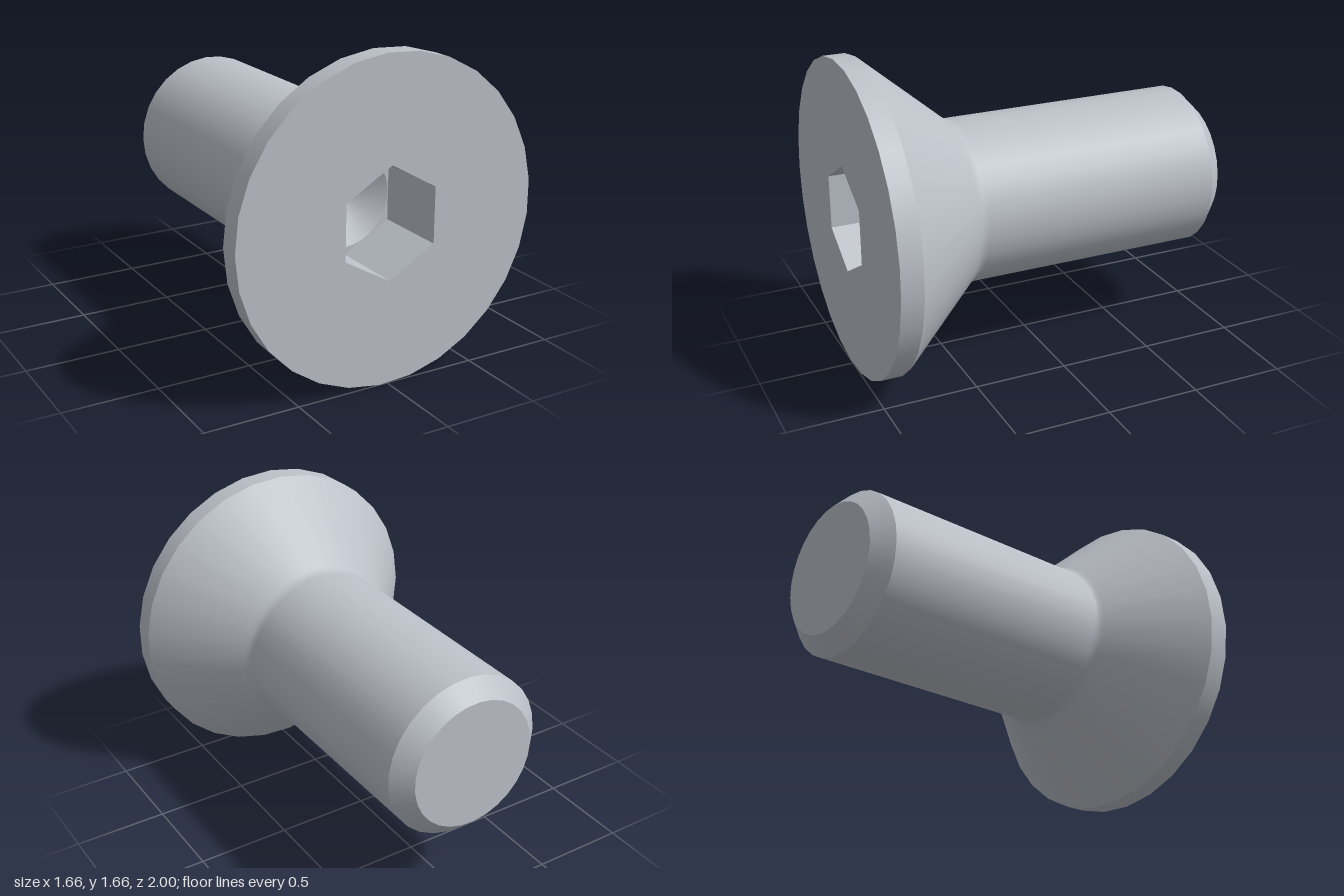
import * as THREE from 'three';

const SIDES = 29;
const CENTER_Y = 0.829;
const HEAD_R = 0.83, SHANK_R = 0.435, TIP_R = 0.345;
const HEX_R = 0.29, DRILL_R = 0.25, FLOOR_Z = 0.6;

// Ring of points on a circle
function ring(radius, count, start) {
  return Array.from({ length: count }, (_, i) => {
    const a = start + (i / count) * Math.PI * 2;
    return new THREE.Vector2(radius * Math.cos(a), radius * Math.sin(a));
  });
}

// Turned surface along z from [radius, z] pairs
function turned(profile, sides = SIDES, start = -Math.PI / 2) {
  const points = profile.map(([r, z]) => new THREE.Vector2(r, z));
  return new THREE.LatheGeometry(points, sides, start).rotateX(Math.PI / 2);
}

// Flat face at a given z with one hole
function plate(outline, hole, z) {
  const shape = new THREE.Shape(outline);
  shape.holes.push(new THREE.Path(hole));
  return new THREE.ShapeGeometry(shape).translate(0, 0, z);
}

export function createModel() {
  const steel = new THREE.MeshStandardMaterial({ color: 0xbcc1c9 });
  steel.name = 'steel';
  const screw = new THREE.Group();
  screw.name = 'countersunkScrew';
  const add = (name, geometry) => {
    const mesh = new THREE.Mesh(geometry, steel);
    mesh.name = name;
    mesh.position.y = CENTER_Y;
    screw.add(mesh);
  };

  // Tip with chamfer
  add('tipFace', new THREE.CircleGeometry(TIP_R, SIDES).rotateY(Math.PI).translate(0, 0, -1));
  add('tipChamfer', turned([[TIP_R, -1], [SHANK_R, -0.91]]));

  // Shank blending through a small fillet into the conical head
  add('shankAndCone', turned([
    [SHANK_R, -0.91], [SHANK_R, 0.39], [SHANK_R, 0.4], [0.438, 0.418],
    [0.445, 0.433], [0.456, 0.447], [0.465, 0.458], [HEAD_R, 0.885],
  ]));
  add('headRim', turned([[HEAD_R, 0.885], [HEAD_R, 1]]));

  // Head face with hexagonal opening
  const hex = ring(HEX_R, 6, Math.PI / 2);
  add('headFace', plate(ring(HEAD_R, SIDES, Math.PI), hex, 1));

  // Socket: flat walls, floor and drilled cone
  const walls = turned([[HEX_R, 1], [HEX_R, FLOOR_Z]], 6, 0).toNonIndexed();
  walls.computeVertexNormals();
  add('socketWalls', walls);
  add('socketFloor', plate(hex, ring(DRILL_R * 0.998, SIDES, Math.PI), FLOOR_Z));
  add('socketDrillCone', turned([[DRILL_R * 0.998, FLOOR_Z], [0, FLOOR_Z - 0.144]]));

  return screw;
}
